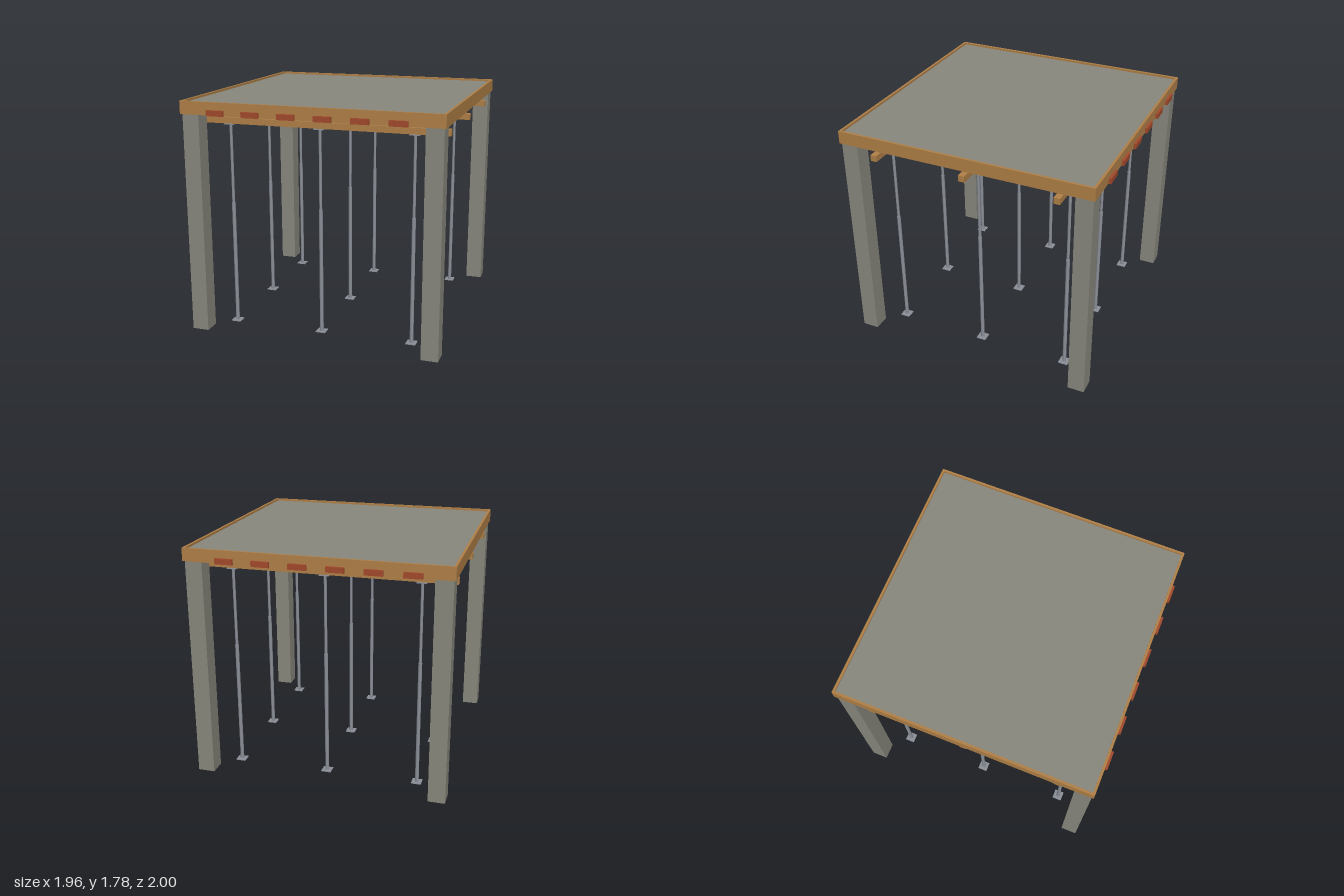
import * as THREE from 'three';

const mat = (name, color) => {
  const m = new THREE.MeshStandardMaterial({ color });
  m.name = name;
  return m;
};

export function createModel() {
  const concrete = mat('concrete', 0x88887e);
  const timber = mat('timber', 0xb08047);
  const steel = mat('steel', 0x8b8f98);
  const clay = mat('clay', 0xa34a2c);

  const model = new THREE.Group();
  model.name = 'proppedFloorSlab';

  const add = (parent, name, geometry, material, x, y, z) => {
    const mesh = new THREE.Mesh(geometry, material);
    mesh.name = name;
    mesh.position.set(x, y, z);
    parent.add(mesh);
    return mesh;
  };
  // box given by its centre in x and z and its bottom and top heights
  const box = (parent, name, material, x, z, w, d, y0, y1) =>
    add(parent, name, new THREE.BoxGeometry(w, y1 - y0, d), material, x, (y0 + y1) / 2, z);

  // corner columns
  for (const x of [-0.904, 0.904])
    for (const z of [-0.904, 0.904]) box(model, 'column', concrete, x, z, 0.128, 0.128, 0, 1.68);

  // poured slab inside a timber edge form
  box(model, 'slab', concrete, 0, 0, 1.93, 1.93, 1.72, 1.76);
  for (const s of [-1, 1]) {
    box(model, 'sideEdgeBoard', timber, s * 0.972, 0, 0.018, 1.962, 1.68, 1.777);
    box(model, 'endEdgeBoard', timber, 0, s * 0.972, 1.926, 0.018, 1.68, 1.777);
  }

  // rows of hollow clay blocks, their ends showing past the edge form
  const pitch = 0.271, rows = 6, perRow = 22;
  const firstRow = -0.696, step = 2 / perRow;
  for (let r = 0; r < rows; r++) {
    const row = new THREE.Group();
    row.name = 'clayBlockRow';
    model.add(row);
    const x = firstRow + r * pitch;
    for (let i = 0; i < perRow; i++) {
      const last = i === 0 ? 0.006 : i === perRow - 1 ? -0.006 : 0;
      box(row, 'clayBlock', clay, x, -1 + (i + 0.5) * step - last / 2,
        0.132, step - 0.012 + Math.abs(last), 1.679, 1.72);
    }
  }

  // joists between the block rows
  for (let j = 0; j <= rows; j++)
    box(model, 'joist', concrete, firstRow + (j - 0.5) * pitch, 0, 0.06, 1.92, 1.683, 1.725);

  // bearer beams, each on three telescopic props
  for (const z of [-0.71, 0, 0.71]) {
    box(model, 'bearerBeam', timber, 0, z, 1.93, 0.048, 1.583, 1.63);
    for (const x of [-0.71, 0, 0.71]) {
      const prop = new THREE.Group();
      prop.name = 'prop';
      prop.position.set(x, 0, z);
      model.add(prop);
      box(prop, 'basePlate', steel, 0, 0, 0.076, 0.076, 0, 0.006);
      add(prop, 'outerTube', new THREE.CylinderGeometry(0.0145, 0.0145, 0.964, 16), steel, 0, 0.488, 0);
      add(prop, 'innerTube', new THREE.CylinderGeometry(0.011, 0.011, 0.61, 16), steel, 0, 1.273, 0);
      box(prop, 'headPlate', steel, 0, 0, 0.076, 0.076, 1.577, 1.583);
    }
  }
  return model;
}
